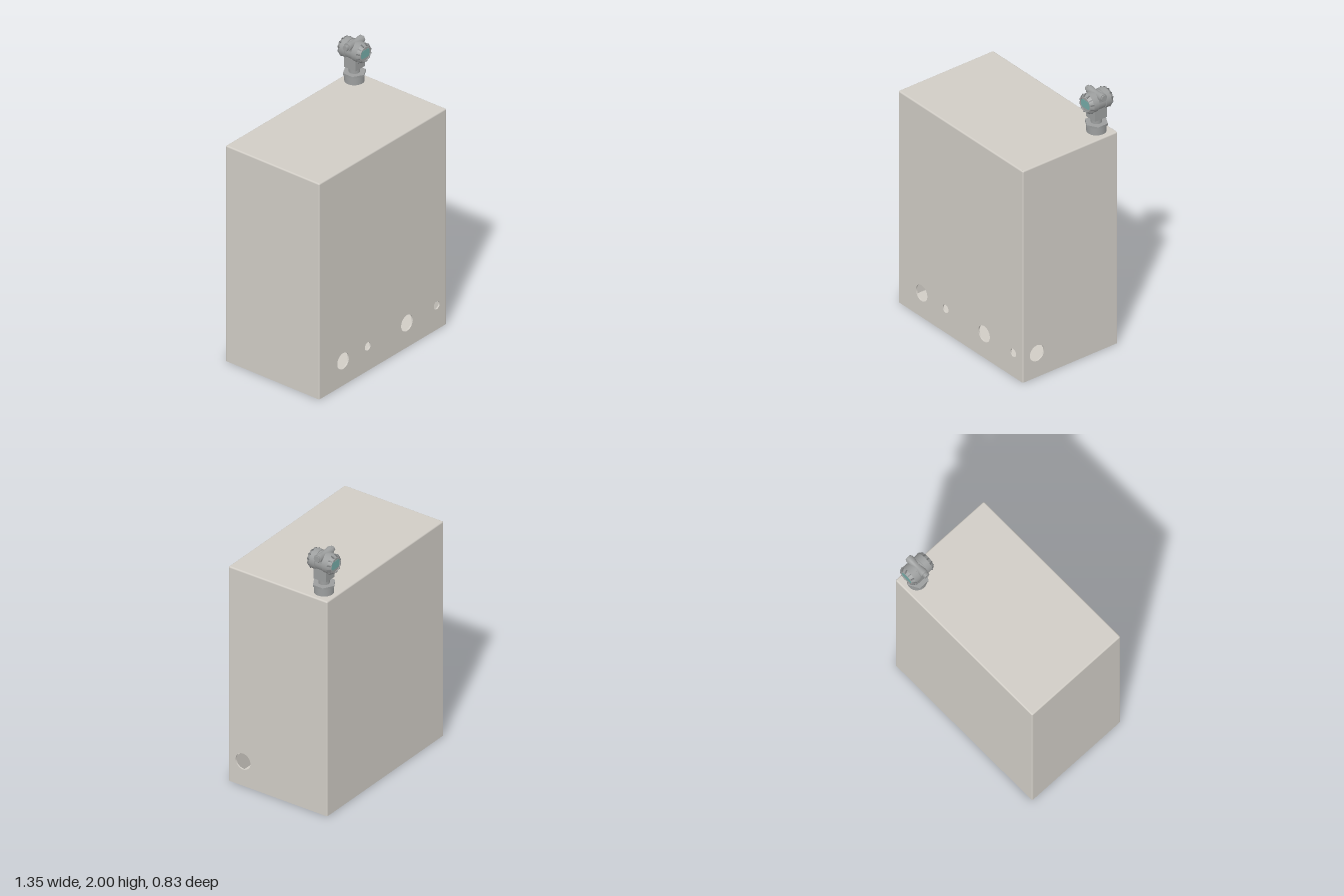
import * as THREE from 'three';

const W = 1.346, D = 0.826, H = 1.68; // tank size
const T = 0.011;                      // wall thickness and edge radius

const paint = (color) => new THREE.MeshStandardMaterial({ color });
const tankMat = paint(0xd0ccc5), metal = paint(0x9c9e9e), dark = paint(0x77797a), teal = paint(0x74aaa6);

function add(parent, name, geo, mat, x = 0, y = 0, z = 0) {
  const mesh = new THREE.Mesh(geo, mat);
  mesh.name = name;
  mesh.position.set(x, y, z);
  parent.add(mesh);
  return mesh;
}

// flat sheet from y0 to y1 with round holes [x, y, radius]
function sheet(w, y0, y1, holes = []) {
  const s = new THREE.Shape();
  s.moveTo(-w / 2, y0).lineTo(w / 2, y0).lineTo(w / 2, y1).lineTo(-w / 2, y1).closePath();
  for (const [x, y, r] of holes) s.holes.push(new THREE.Path().absarc(x, y, r, 0, Math.PI * 2, true));
  return new THREE.ExtrudeGeometry(s, { depth: T, bevelEnabled: false, curveSegments: 24 });
}

// lathe profile of [radius, height]; doubled points keep the edges sharp
function turned(points, sides = 40) {
  const parts = [];
  points.forEach(([r, y], i) => {
    parts.push(new THREE.Vector2(r, y));
    if (i > 0 && i < points.length - 1) parts.push(new THREE.Vector2(r, y + 1e-5));
  });
  return new THREE.LatheGeometry(parts, sides);
}

function createTank() {
  const tank = new THREE.Group();
  tank.name = 'tank';
  const w = W - 2 * T, d = D - 2 * T, h = H - T;

  // walls, floor and lid
  const outlets = [[-0.42, 0.19, 0.062], [-0.16, 0.19, 0.031], [0.255, 0.19, 0.062], [0.57, 0.19, 0.031]];
  add(tank, 'frontWall', sheet(w, 0, h, outlets), tankMat, 0, 0, D / 2 - T);
  add(tank, 'backWall', sheet(w, 0, h), tankMat, 0, 0, -D / 2);
  add(tank, 'rightSideWall', sheet(d, 0, h, [[-0.29, 0.19, 0.062]]).rotateY(Math.PI / 2), tankMat, W / 2 - T);
  add(tank, 'leftSideWall', sheet(d, 0, h).rotateY(Math.PI / 2), tankMat, -W / 2);
  add(tank, 'floor', sheet(w, -d / 2, d / 2, [[0.55, 0.205, 0.031]]).rotateX(-Math.PI / 2), tankMat);
  add(tank, 'lid', sheet(w, -d / 2, d / 2).rotateX(-Math.PI / 2), tankMat, 0, H - T, 0);

  // rounded vertical and top edges, rounded top corners
  const quarter = (len, start) => new THREE.CylinderGeometry(T, T, len, 6, 1, false, start * Math.PI / 2, Math.PI / 2);
  [[1, 1], [1, -1], [-1, -1], [-1, 1]].forEach(([sx, sz], i) => {
    add(tank, 'uprightEdge', quarter(h, i), tankMat, sx * w / 2, h / 2, sz * d / 2);
    add(tank, 'topCorner', new THREE.SphereGeometry(T, 12, 8), tankMat, sx * w / 2, h, sz * d / 2);
  });
  for (const s of [1, -1]) {
    add(tank, 'topLongEdge', quarter(w, s > 0 ? 0 : 1).rotateZ(Math.PI / 2), tankMat, 0, h, s * d / 2);
    add(tank, 'topShortEdge', quarter(d, s > 0 ? 1 : 2).rotateX(Math.PI / 2), tankMat, s * w / 2, h, 0);
  }
  return tank;
}

// level transmitter, built around its own vertical axis
function createTransmitter() {
  const unit = new THREE.Group();
  unit.name = 'transmitter';
  const cy = 0.24; // height of the housing axis

  // mounting and neck
  add(unit, 'mountingCollar', new THREE.CylinderGeometry(0.069, 0.069, 0.058, 40), metal, 0, 0.029, 0);
  add(unit, 'hexFlange', new THREE.CylinderGeometry(0.083, 0.083, 0.016, 6), metal, 0, 0.064, 0);
  add(unit, 'neck', new THREE.CylinderGeometry(0.039, 0.039, 0.05, 32), metal, 0, 0.09, 0);
  add(unit, 'neckBlock', new THREE.BoxGeometry(0.1, 0.09, 0.104), metal, 0, 0.155, 0);

  // housing barrel with a cap at each end
  add(unit, 'housing', new THREE.CylinderGeometry(0.067, 0.067, 0.14, 40).rotateX(Math.PI / 2), metal, 0, cy, 0);
  for (const s of [1, -1]) {
    const cap = new THREE.Group();
    cap.name = s > 0 ? 'frontCap' : 'backCap';
    cap.position.y = cy;
    cap.rotation.y = s > 0 ? 0 : Math.PI;
    unit.add(cap);
    const profile = [[0.06, 0.03], [0.072, 0.032], [0.072, 0.076], [0.056, 0.1], [0.05, 0.1], [0.05, 0.095], [0, 0.095]];
    add(cap, 'capShell', turned(profile).rotateX(Math.PI / 2), metal);

    // grip ribs over the chamfer
    for (let i = 0; i < 12; i++) {
      const a = (i + 0.5) / 12 * Math.PI * 2;
      const rib = add(cap, 'gripRib', new THREE.BoxGeometry(0.009, 0.011, 0.027), dark,
        -Math.sin(a) * 0.065, Math.cos(a) * 0.065, 0.085);
      rib.rotation.set(0.55, 0, a, 'ZXY');
    }
    // display window
    const c = 0.013, x = 0.045, y = 0.03;
    const win = new THREE.Shape([[-x, -y + c], [-x + c, -y], [x - c, -y], [x, -y + c], [x, y - c], [x - c, y], [c - x, y], [-x, y - c]]
      .map(([px, py]) => new THREE.Vector2(px, py)));
    add(cap, 'display', new THREE.ExtrudeGeometry(win, { depth: 0.003, bevelEnabled: false }), teal, 0, 0.002, 0.094);
  }

  // cable entry saddle across the top, narrower at its middle
  const saddle = [];
  for (let i = 0; i <= 12; i++) {
    const u = i / 6 - 1;
    saddle.push(new THREE.Vector2(0.023 + 0.006 * (1 - Math.cos(u * Math.PI)) / 2, u * 0.075));
  }
  add(unit, 'cableSaddle', new THREE.LatheGeometry(saddle, 28).rotateZ(-Math.PI / 2), metal, 0, 0.291, 0);
  for (const s of [1, -1]) {
    add(unit, 'saddleEnd', new THREE.CylinderGeometry(0.029, 0.029, 0.008, 28).rotateZ(Math.PI / 2), metal, s * 0.073, 0.291, 0);
  }
  add(unit, 'hexPlug', new THREE.CylinderGeometry(0.025, 0.025, 0.012, 6).rotateZ(Math.PI / 2), metal, 0.08, 0.291, 0);
  add(unit, 'cableGland', new THREE.CylinderGeometry(0.021, 0.021, 0.026, 6).rotateZ(Math.PI / 2), metal, -0.088, 0.291, 0);
  // webs joining the saddle to the housing
  for (const s of [1, -1]) add(unit, 'saddleWeb', new THREE.BoxGeometry(0.03, 0.05, 0.05), metal, s * 0.05, 0.265, 0);
  return unit;
}

export function createModel() {
  const model = new THREE.Group();
  model.name = 'tankWithTransmitter';
  const transmitter = createTransmitter();
  transmitter.position.set(0.568, H, -0.311);
  model.add(createTank(), transmitter);
  return model;
}
